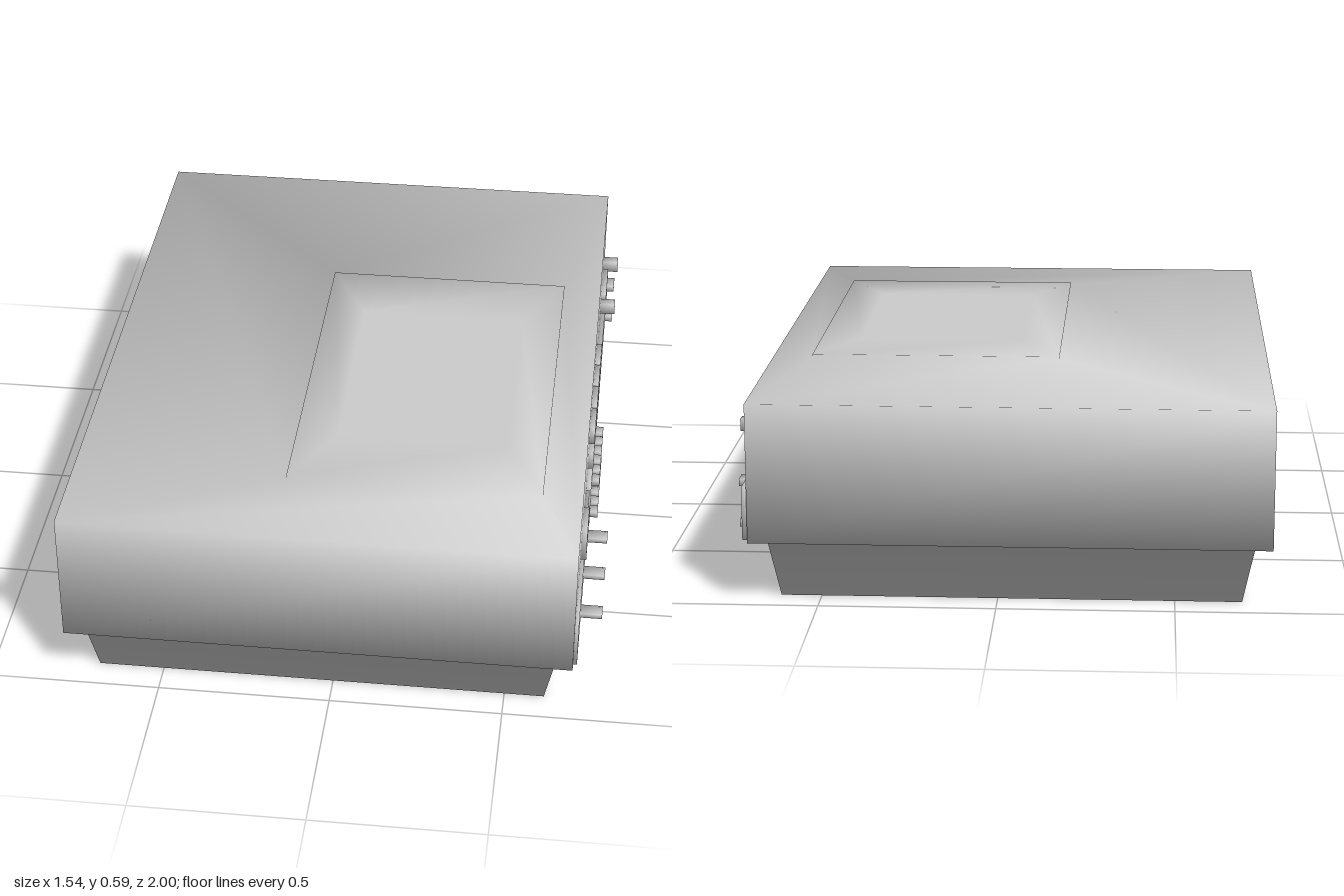
import * as THREE from 'three';

const grey = new THREE.MeshStandardMaterial({ color: 0xcccccc });

// Lofts rectangles [x0, x1, z0, z1, y] listed bottom to top; corner normals are shared so edges shade softly
function loft(rings, capTop = true) {
  const pts = [];
  for (const [x0, x1, z0, z1, y] of rings)
    for (const [x, z] of [[x0, z1], [x1, z1], [x1, z0], [x0, z0]]) pts.push(new THREE.Vector3(x, y, z));
  const quads = [[3, 2, 1, 0]];
  for (let r = 0; r < rings.length - 1; r++)
    for (let i = 0; i < 4; i++) {
      const j = (i + 1) % 4, a = r * 4;
      quads.push([a + i, a + j, a + 4 + j, a + 4 + i]);
    }
  const n = pts.length;
  if (capTop) quads.push([n - 4, n - 3, n - 2, n - 1]);

  // Every face counts equally in the corner normals
  const normals = pts.map(() => new THREE.Vector3());
  const index = [];
  for (const [a, b, c, d] of quads) {
    const ac = pts[c].clone().sub(pts[a]), bd = pts[d].clone().sub(pts[b]);
    const face = ac.cross(bd).normalize();
    for (const k of [a, b, c, d]) normals[k].add(face);
    index.push(a, b, c, a, c, d);
  }
  const geo = new THREE.BufferGeometry().setFromPoints(pts);
  geo.setAttribute('normal', new THREE.Float32BufferAttribute(normals.flatMap(v => v.normalize().toArray()), 3));
  geo.setIndex(index);
  return geo;
}

export function createModel() {
  const model = new THREE.Group();
  const add = (name, geo, parent = model) => {
    const mesh = new THREE.Mesh(geo, grey);
    mesh.name = name;
    parent.add(mesh);
    return mesh;
  };
  const group = name => {
    const g = new THREE.Group();
    g.name = name;
    model.add(g);
    return g;
  };
  // Block on the right-hand face: centre z, centre y, width, height, outer x
  const WALL = 0.69;
  const sideBlock = (name, z, y, w, h, x1, parent) =>
    add(name, loft([y - h / 2, y + h / 2].map(v => [WALL, x1, z - w / 2, z + w / 2, v])), parent);

  // Case: tapered base, overhanging body and raised window frame in one shell
  const frame = [-0.155, 0.58, -0.4, 0.72], pane = [-0.035, 0.46, -0.18, 0.5];
  add('case', loft([
    [-0.69, 0.615, -0.905, 0.91, 0],
    [-0.725, 0.65, -0.94, 0.945, 0.18],
    [-0.77, 0.695, -1, 1, 0.18],
    [-0.77, 0.695, -1, 1, 0.58],
    [...frame, 0.58],
    [...frame, 0.586],
    [...pane, 0.586],
  ], false));

  // Flat window pane inside the frame
  const window = add('windowPane', new THREE.PlaneGeometry(0.495, 0.68).rotateX(-Math.PI / 2));
  window.position.set(0.2125, 0.586, 0.16);

  // Lower strips along the right side
  sideBlock('frontPanel', 0.665, 0.263, 0.63, 0.153, 0.706);
  sideBlock('rearPanel', -0.333, 0.263, 1.315, 0.153, 0.71);

  // Large keys in two rows, the lower row with one double-width key
  const keys = group('keys');
  for (const z of [0.26, 0.143, 0.025, -0.093]) sideBlock('upperKey', z, 0.512, 0.11, 0.055, 0.712, keys);
  for (const [z, w] of [[0.26, 0.11], [0.084, 0.228], [-0.093, 0.11]])
    sideBlock('lowerKey', z, 0.422, w, 0.055, 0.712, keys);
  sideBlock('squareButton', 0.685, 0.43, 0.108, 0.108, 0.712);

  // Slider with a knob at each end
  sideBlock('slider', -0.625, 0.46, 0.16, 0.028, 0.712);
  for (const z of [-0.493, -0.755]) sideBlock('sliderKnob', z, 0.462, 0.033, 0.035, 0.742);

  // Small buttons above and below on the rear panel
  const small = group('smallButtons');
  for (const y of [0.322, 0.203]) {
    for (let i = 0; i < 6; i++) sideBlock('smallButton', 0.27 - i * 0.05, y, 0.034, 0.02, 0.733, small);
    sideBlock('endButton', -0.855, y, 0.054, 0.02, 0.733, small);
  }

  // Thin levers on the front panel
  for (const [z, y] of [[0.82, 0.253], [0.68, 0.285], [0.505, 0.285]])
    sideBlock('lever', z, y, 0.042, 0.014, 0.768);

  // Hexagonal pegs on both sides of the base
  const pegs = group('pegs');
  for (const [x0, x1] of [[0.6, 0.68], [-0.75, -0.67]])
    for (const z of [0.32, 0.215]) {
      const peg = add('peg', new THREE.CylinderGeometry(0.024, 0.024, x1 - x0, 6), pegs);
      peg.rotation.z = Math.PI / 2;
      peg.position.set((x0 + x1) / 2, 0.09, z);
    }

  return model;
}
